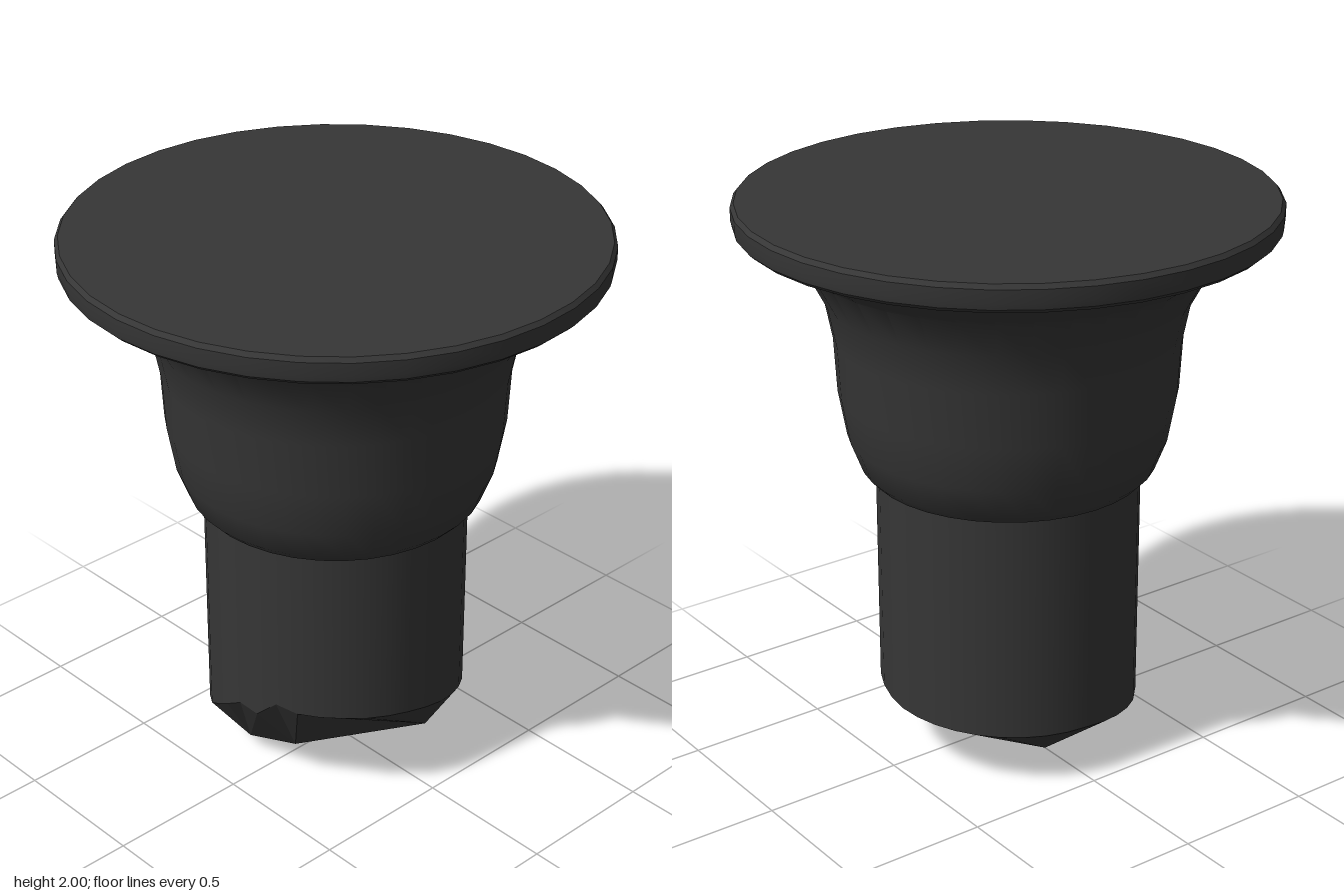
import * as THREE from 'three';
import { toCreasedNormals } from 'three/addons/utils/BufferGeometryUtils.js';

const SIDES = 36, SHAFT_R = 0.457;

// Height of the broken edge around the shaft: [degrees from front towards +x, y]
const EDGE = [[0, 0.34], [10, 0.33], [20, 0.4], [30, 0.38], [50, 0.375], [77, 0.355], [90, 0.335],
  [135, 0.25], [180, 0.22], [225, 0.21], [270, 0.2], [300, 0.17], [315, 0.155], [330, 0.19], [360, 0.34]];

function edgeHeight(deg) {
  const d = ((deg % 360) + 360) % 360;
  const k = EDGE.findIndex((e, i) => i > 0 && d <= e[0]);
  const [a, ya] = EDGE[k - 1], [b, yb] = EDGE[k];
  return ya + (yb - ya) * (d - a) / (b - a);
}

function edgePoint(i) {
  const deg = (i % SIDES) * 360 / SIDES, t = THREE.MathUtils.degToRad(deg);
  return [SHAFT_R * Math.sin(t), edgeHeight(deg), SHAFT_R * Math.cos(t)];
}

function turned(profile) {
  const points = profile.map(([r, y]) => new THREE.Vector2(r, y));
  return toCreasedNormals(new THREE.LatheGeometry(points, SIDES), 0.45);
}

// Open cylinder whose lower edge follows the break
function shaftGeometry() {
  const g = new THREE.CylinderGeometry(SHAFT_R, SHAFT_R, 1, SIDES, 1, true);
  const p = g.attributes.position;
  for (let i = 0; i < p.count; i++) {
    const deg = Math.round(THREE.MathUtils.radToDeg(Math.atan2(p.getX(i), p.getZ(i))));
    p.setY(i, p.getY(i) > 0 ? 1.05 : edgeHeight(deg));
  }
  return g;
}

// Jagged facets: fans from the edge to a few peaks, joined around a middle point
function breakGeometry() {
  const peaks = [
    { at: [-0.12, 0.06, 0.31], from: 31 },
    { at: [0.11, 0.14, 0.3], from: 1 },
    { at: [0.3, 0.1, -0.16], from: 3 },
    { at: [-0.22, 0.005, 0], from: 20 },
  ];
  const middle = [0.06, 0.06, 0.08];
  const verts = [];
  const tri = (...corners) => corners.forEach((c) => verts.push(...c));
  peaks.forEach((peak, k) => {
    const next = peaks[(k + 1) % peaks.length];
    const end = next.from > peak.from ? next.from : next.from + SIDES;
    for (let i = peak.from; i < end; i++) tri(edgePoint(i + 1), edgePoint(i), peak.at);
    tri(edgePoint(end), peak.at, next.at);
    tri(middle, next.at, peak.at);
  });
  const g = new THREE.BufferGeometry();
  g.setAttribute('position', new THREE.Float32BufferAttribute(verts, 3));
  g.computeVertexNormals();
  return g;
}

export function createModel() {
  const group = new THREE.Group();
  const dark = new THREE.MeshStandardMaterial({ color: 0x363636 });
  const add = (name, geometry) => {
    const mesh = new THREE.Mesh(geometry, dark);
    mesh.name = name;
    group.add(mesh);
  };

  // Flared collar with the flat round head on top
  add('flaredHead', turned([
    [SHAFT_R, 1.028], [0.482, 1.03], [0.51, 1.06], [0.552, 1.17], [0.58, 1.33], [0.59, 1.52],
    [0.617, 1.66], [0.687, 1.795], [0.8, 1.88], [0.893, 1.906], [0.908, 1.92],
    [0.912, 1.94], [0.912, 1.985], [0.9, 2], [0, 2],
  ]));
  add('shaft', shaftGeometry());
  add('brokenEnd', breakGeometry());
  return group;
}
